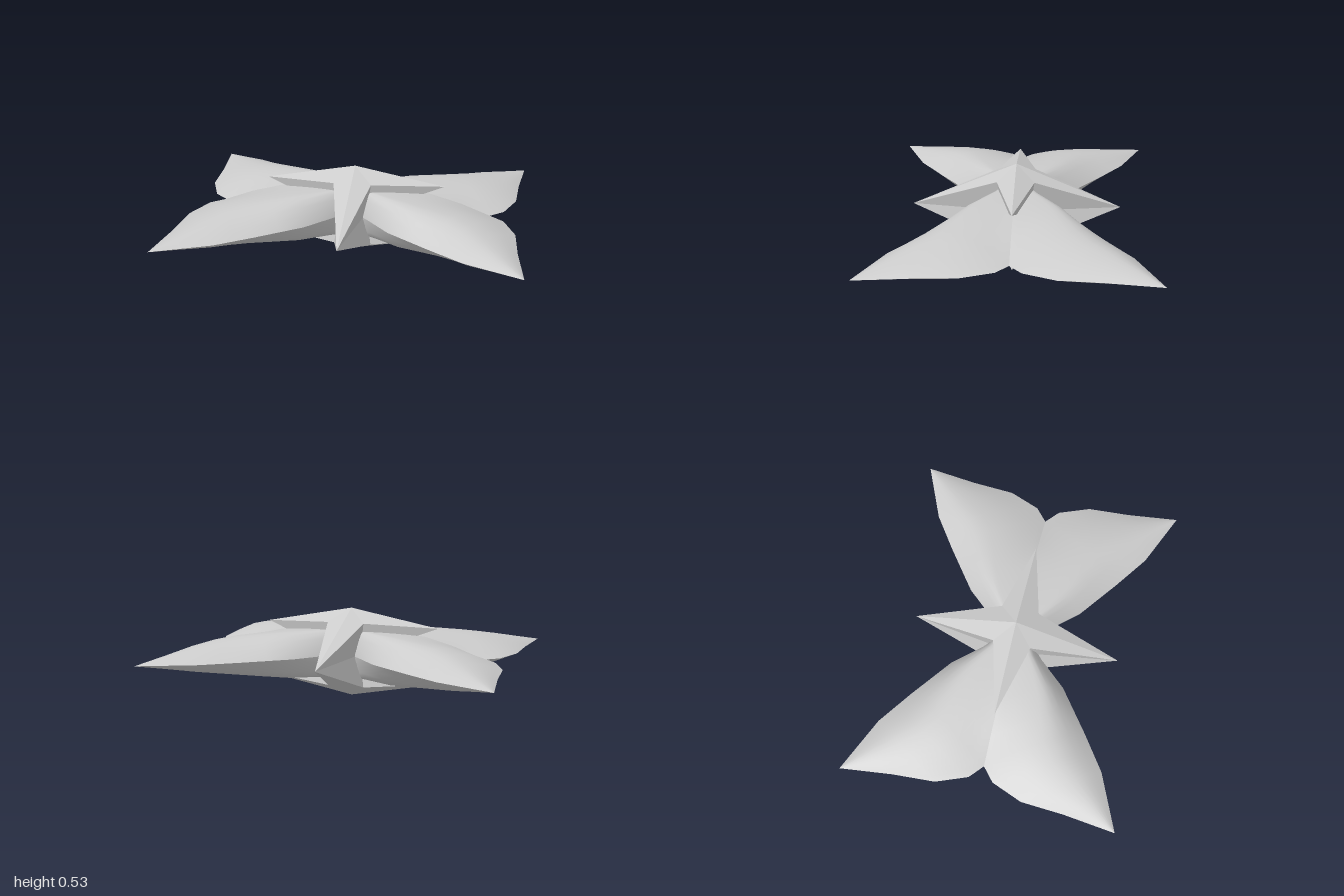
import * as THREE from 'three';

const MID = 0.265; // height of the horizontal symmetry plane

function makeGeometry(positions, index) {
  const g = new THREE.BufferGeometry();
  g.setAttribute('position', new THREE.Float32BufferAttribute(positions, 3));
  if (index) g.setIndex(index);
  g.computeVertexNormals();
  return g;
}

// One eighth of the spiked star body, in the +x +y +z octant
function starGeometry() {
  const apex = [0, 0.265, 0], front = [0, 0, 0.62], side = [0.53, 0.165, 0];
  const notch = [0.11, 0.19, 0.11], waist = [0.08, 0, 0.08], core = [0.08, 0, 0];
  return makeGeometry([
    apex, front, notch,
    apex, notch, side,
    front, waist, notch,
    notch, waist, side,
    side, waist, core,
  ].flat());
}

// Upper skin of one petal: rows run from the root to the tip, each row from
// the outer edge over the ridge to the inner edge
function petalGeometry() {
  // outer x, z, inner x, z, ridge height, inner edge height
  const rows = [
    [0, 0.08, 0, 0, 0.14, 0.135],
    [0.1, 0.18, 0.2, 0, 0.14, 0.135],
    [0.24, 0.34, 0.45, 0, 0.137, 0.115],
    [0.36, 0.43, 0.63, 0, 0.125, 0.065],
    [0.48, 0.52, 0.8, 0, 0.112, 0],
    [0.58, 0.59, 0.88, 0.07, 0.095, 0],
    [0.68, 0.66, 0.95, 0.25, 0.07, 0],
    [0.84, 0.73, 0.965, 0.5, 0.036, 0],
    [1, 0.8, 1, 0.8, 0, 0],
  ];
  const steps = 12, peak = 0.35, pos = [], index = [];
  rows.forEach(([ox, oz, ix, iz, ridge, inner], r) => {
    for (let j = 0; j <= steps; j++) {
      const v = j / steps;
      const y = v < peak
        ? ridge * Math.sin((Math.PI / 2) * (v / peak))
        : inner + (ridge - inner) * Math.cos((Math.PI / 2) * ((v - peak) / (1 - peak)));
      pos.push(ox + (ix - ox) * v, Math.max(0, y), oz + (iz - oz) * v);
      if (r < rows.length - 1 && j < steps) {
        const a = r * (steps + 1) + j, b = a + steps + 1;
        index.push(a, b, a + 1, a + 1, b, b + 1);
      }
    }
  });
  return makeGeometry(pos, index);
}

export function createModel() {
  const model = new THREE.Group();
  model.name = 'starFlower';
  const starMaterial = new THREE.MeshStandardMaterial({ color: 0xcccccc, flatShading: true, side: THREE.DoubleSide });
  const petalMaterial = new THREE.MeshStandardMaterial({ color: 0xcccccc, side: THREE.DoubleSide });

  // Mirror each piece into all eight octants
  const addMirrored = (name, geometry, material) => {
    const group = new THREE.Group();
    group.name = name;
    group.position.y = MID;
    for (const sx of [1, -1]) for (const sy of [1, -1]) for (const sz of [1, -1]) {
      const mesh = new THREE.Mesh(geometry, material);
      mesh.name = `${name}${sy > 0 ? 'Upper' : 'Lower'}${sz > 0 ? 'Front' : 'Back'}${sx > 0 ? 'Left' : 'Right'}`;
      mesh.scale.set(sx, sy, sz);
      group.add(mesh);
    }
    model.add(group);
  };
  addMirrored('star', starGeometry(), starMaterial);
  addMirrored('petal', petalGeometry(), petalMaterial);
  return model;
}
